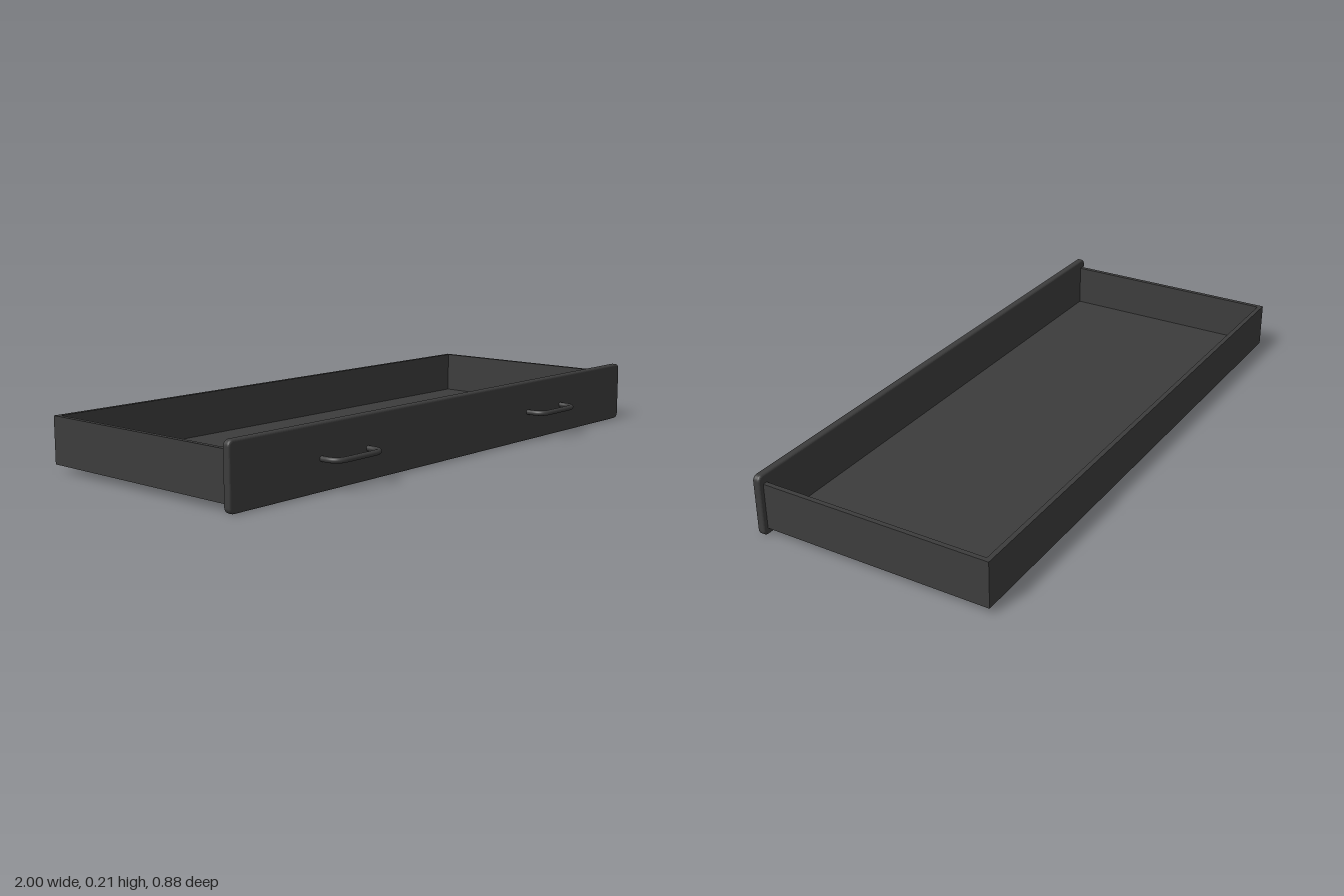
import * as THREE from 'three';

const material = new THREE.MeshStandardMaterial({ color: 0x3c3c3c });

function add(parent, name, geometry, x = 0, y = 0, z = 0) {
  const mesh = new THREE.Mesh(geometry, material);
  mesh.name = name;
  mesh.position.set(x, y, z);
  parent.add(mesh);
  return mesh;
}

// Rounded rectangle centred on the origin
function roundedRect(w, h, r) {
  const s = new THREE.Shape();
  const x = w / 2, y = h / 2;
  s.absarc(x - r, y - r, r, 0, Math.PI / 2);
  s.absarc(-x + r, y - r, r, Math.PI / 2, Math.PI);
  s.absarc(-x + r, -y + r, r, Math.PI, Math.PI * 1.5);
  s.absarc(x - r, -y + r, r, Math.PI * 1.5, Math.PI * 2);
  s.closePath();
  return s;
}

// U-shaped pull with rounded corners, legs running in z
function handleGeometry(halfWidth, depth, bend, radius) {
  const v = (x, z) => new THREE.Vector3(x, 0, z);
  const path = new THREE.CurvePath();
  const w = halfWidth, d = depth, b = bend;
  path.add(new THREE.LineCurve3(v(-w, 0), v(-w, d - b)));
  path.add(new THREE.QuadraticBezierCurve3(v(-w, d - b), v(-w, d), v(-w + b, d)));
  path.add(new THREE.LineCurve3(v(-w + b, d), v(w - b, d)));
  path.add(new THREE.QuadraticBezierCurve3(v(w - b, d), v(w, d), v(w, d - b)));
  path.add(new THREE.LineCurve3(v(w, d - b), v(w, 0)));
  return new THREE.TubeGeometry(path, 72, radius, 12, false);
}

export function createModel() {
  const drawer = new THREE.Group();
  drawer.name = 'drawer';

  // Open tray
  const halfW = 0.983, bottom = 0.023, top = 0.177, back = -0.44, front = 0.348;
  const t = 0.016, floorT = 0.008;
  const height = top - bottom, depth = front - back;
  const midY = (top + bottom) / 2, midZ = (front + back) / 2;
  add(drawer, 'floor', new THREE.BoxGeometry(2 * (halfW - t), floorT, depth - t),
    0, bottom + floorT / 2, midZ + t / 2);
  add(drawer, 'backWall', new THREE.BoxGeometry(2 * halfW, height, t), 0, midY, back + t / 2);
  for (const [name, side] of [['leftWall', 1], ['rightWall', -1]]) {
    add(drawer, name, new THREE.BoxGeometry(t, height, depth - t),
      side * (halfW - t / 2), midY, midZ + t / 2);
  }

  // Front panel with softened edges
  const bevel = 0.007, panelT = 0.026, panelH = 0.207;
  const panel = new THREE.ExtrudeGeometry(roundedRect(2 - 2 * bevel, panelH - 2 * bevel, 0.012), {
    depth: panelT - 2 * bevel, bevelEnabled: true, bevelSize: bevel,
    bevelThickness: bevel, bevelSegments: 4, curveSegments: 6,
  });
  add(drawer, 'frontPanel', panel, 0, panelH / 2, 0.345 + bevel);

  // Pair of bar pulls
  const pull = handleGeometry(0.101, 0.071, 0.04, 0.009);
  add(drawer, 'rightHandle', pull, -0.538, 0.1, 0.361);
  add(drawer, 'leftHandle', pull, 0.5, 0.1, 0.361);

  return drawer;
}
